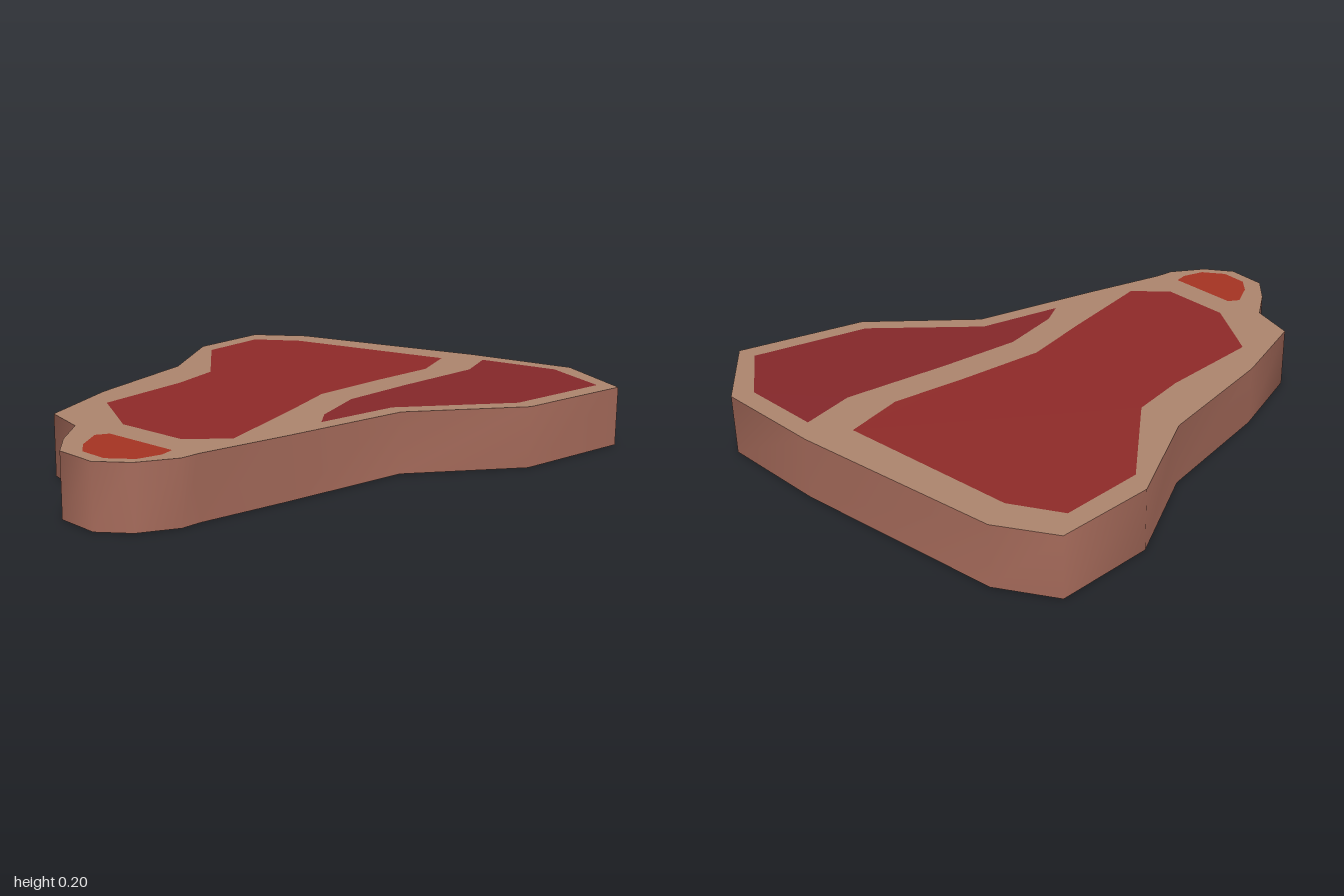
import * as THREE from 'three';
import { toCreasedNormals } from 'three/addons/utils/BufferGeometryUtils.js';

const HEIGHT = 0.2;

// Plan outlines as [x, z]
const OUTLINE = [
  [0.5, -1], [0.8, -0.82], [0.75, -0.37], [0.5, -0.03], [0.45, 0.43],
  [0.41, 0.74], [0.41, 0.81], [0.35, 0.93], [0.26, 1], [0.11, 0.99],
  [0.01, 0.9], [-0.09, 0.78], [-0.26, 0.73], [-0.4, 0.42], [-0.54, -0.04],
  [-0.76, -0.37], [-0.8, -0.7], [-0.63, -0.82], [0.1, -0.96],
];

const MEAT = [
  { name: 'largeMeat', color: 0x8e2a28, points: [
    [-0.57, -0.72], [0.06, -0.82], [0.14, -0.62], [0.14, -0.35], [0.15, -0.05],
    [0.24, 0.2], [0.36, 0.56], [0.26, 0.67], [0, 0.67], [-0.26, 0.52],
    [-0.32, 0.15], [-0.38, -0.05], [-0.68, -0.34], [-0.72, -0.62]] },
  { name: 'sideMeat', color: 0x84272a, points: [
    [0.19, -0.9], [0.48, -0.93], [0.73, -0.8], [0.69, -0.39], [0.44, -0.06],
    [0.41, 0.24], [0.35, 0.16], [0.27, -0.06], [0.26, -0.35], [0.26, -0.72]] },
  { name: 'tipMeat', color: 0xa53322, points: [
    [0.06, 0.77], [0.33, 0.77], [0.345, 0.82], [0.33, 0.9],
    [0.26, 0.955], [0.16, 0.95], [0.1, 0.9], [0.04, 0.81]] },
];

// Flat face lying on the top (side = 1) or the bottom (side = -1)
function face(points, holes, side) {
  const vectors = (list) => list.map(([x, z]) => new THREE.Vector2(x, -side * z));
  const shape = new THREE.Shape(vectors(points));
  shape.holes = holes.map((hole) => new THREE.Path(vectors(hole)));
  const geometry = new THREE.ShapeGeometry(shape);
  geometry.rotateX((-side * Math.PI) / 2);
  geometry.translate(0, side > 0 ? HEIGHT : 0, 0);
  return geometry;
}

// Upright wall that follows a closed outline
function wall(points) {
  const n = points.length;
  const geometry = new THREE.PlaneGeometry(1, 1, n, 1);
  const position = geometry.attributes.position;
  for (let i = 0; i < position.count; i++) {
    const [x, z] = points[(n - (i % (n + 1))) % n];
    position.setXYZ(i, x, i <= n ? HEIGHT : 0, z);
  }
  return toCreasedNormals(geometry, 1.1);
}

export function createModel() {
  const model = new THREE.Group();
  model.name = 'steak';

  const add = (name, geometry, material) => {
    const mesh = new THREE.Mesh(geometry, material);
    mesh.name = name;
    model.add(mesh);
  };
  const paint = (color) => new THREE.MeshStandardMaterial({ color });

  // Outer rind
  add('rind', wall(OUTLINE), paint(0xa56a5a));

  // Fat and the meat set flush into it, on both faces
  const fat = paint(0xac846d);
  const meat = MEAT.map(({ color }) => paint(color));
  for (const side of [1, -1]) {
    const prefix = side > 0 ? 'top' : 'bottom';
    add(`${prefix} fat`, face(OUTLINE, MEAT.map((m) => m.points), side), fat);
    MEAT.forEach((m, i) => add(`${prefix} ${m.name}`, face(m.points, [], side), meat[i]));
  }
  return model;
}
